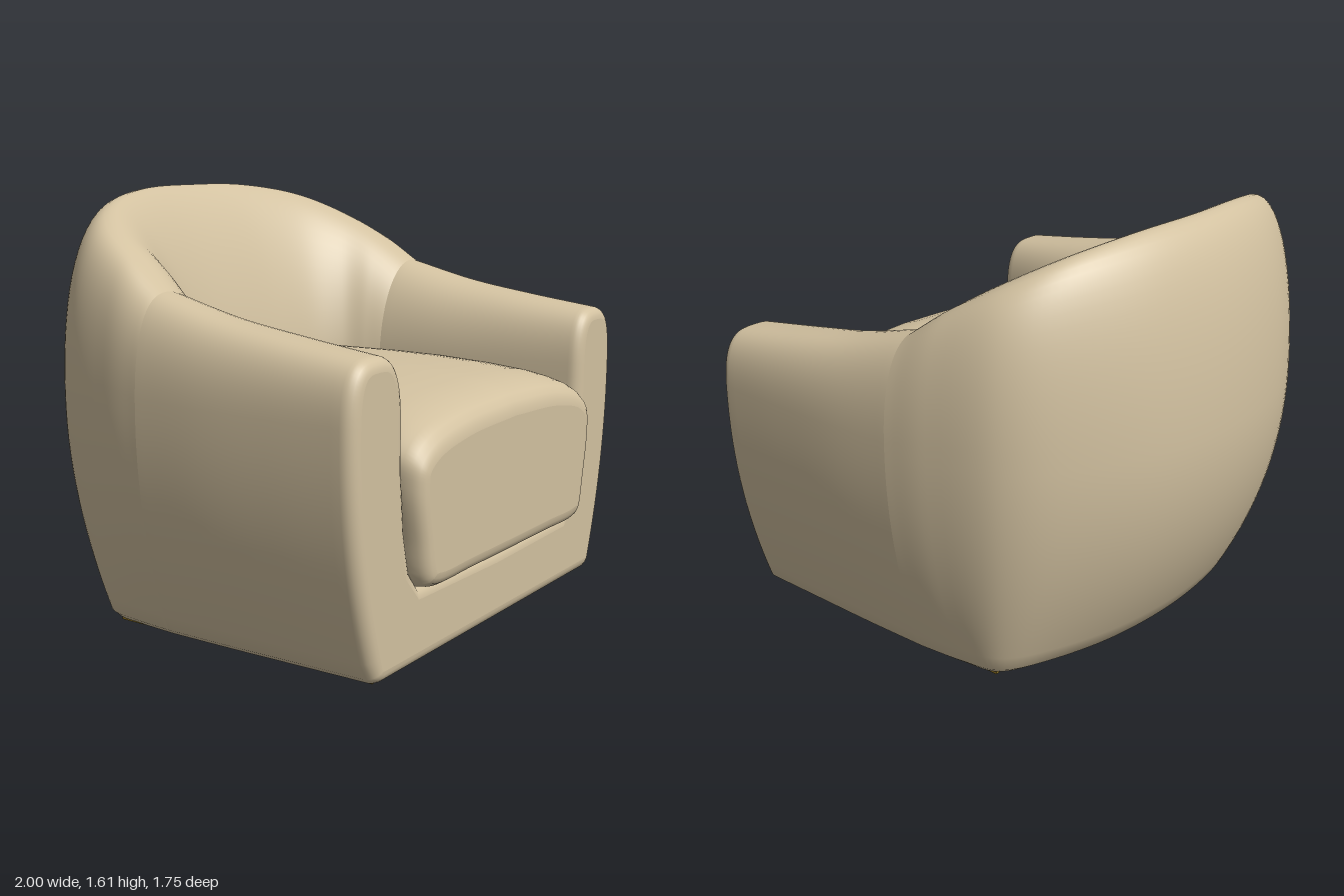
import * as THREE from 'three';
import { mergeGeometries } from 'three/addons/utils/BufferGeometryUtils.js';

const V = (x, y, z) => new THREE.Vector3(x, y, z);
const FLOOR = 0.012, SEAT = 0.29, JOIN = -0.08;

// Skin a list of rings; closed joins the last point of each ring to its first.
function loft(rings, closed) {
  const n = rings[0].length, index = [];
  for (let i = 0; i < rings.length - 1; i++) {
    for (let j = 0; j < (closed ? n : n - 1); j++) {
      const a = i * n + j, b = i * n + (j + 1) % n;
      index.push(a, a + n, b, b, a + n, b + n);
    }
  }
  const geo = new THREE.BufferGeometry().setFromPoints(rings.flat());
  geo.setIndex(index);
  geo.computeVertexNormals();
  return geo;
}

// Flat front face filling a ring.
function cap(ring) {
  const geo = new THREE.ShapeGeometry(new THREE.Shape(ring.map(p => new THREE.Vector2(p.x, p.y))));
  geo.translate(0, 0, ring[0].z);
  geo.deleteAttribute('uv');
  return geo;
}

// Half a ring, running from the centre line to the centre line, made whole.
function mirrorRing(half) {
  const other = half.slice(1, -1).reverse().map(p => V(-p.x, p.y, p.z));
  return [...half, ...other];
}

// Move the ring inwards along its own normals and place it at z.
function inset(ring, d, z) {
  const n = ring.length;
  return ring.map((p, j) => {
    const t = ring[(j + 1) % n].clone().sub(ring[(j + n - 1) % n]).setZ(0).normalize();
    return V(p.x - t.y * d, p.y + t.x * d, z);
  });
}

// Wall section from bottom edge B over widest W, crest C and inner wall I; e.x, e.y set roundness.
function section([B, W, C, I, e], centreZ) {
  const pts = [V(0, FLOOR, centreZ)];
  const side = (y, pull = 0) => {
    const f = ((W.y - y) / W.y) ** 2 + pull;
    return V(W.x + (B.x - W.x) * f, y, W.z + (B.z - W.z) * f);
  };
  pts.push(side(FLOOR, 0.28), side(FLOOR + 0.006, 0.12));
  for (let k = 0; k < 14; k++) pts.push(side(0.04 + (W.y - 0.04) * k / 14));
  const arc = (P, n, th) => {
    const c = Math.max(0, Math.cos(th)) ** (2 / n), s = Math.sin(th) ** (2 / n);
    return V(C.x + (P.x - C.x) * c, P.y + (C.y - P.y) * s, C.z + (P.z - C.z) * c);
  };
  const N = 16;
  for (let k = 0; k <= N; k++) pts.push(arc(W, e.x, k / N * Math.PI / 2));
  for (let k = N - 1; k >= 0; k--) pts.push(arc(I, e.y, k / N * Math.PI / 2));
  for (const [dx, y] of [[0, 0.72], [0.02, 0.5], [0.05, 0.36], [0.09, 0.3]]) {
    pts.push(V(I.x * (1 - dx / 0.6), y, I.z));
  }
  pts.push(V(0, SEAT, centreZ));
  return pts;
}

// Smooth curves through each anchor of a list of stations.
function blend(stations) {
  const curves = stations[0].map((_, k) =>
    new THREE.CatmullRomCurve3(stations.map(s => s[k]), false, 'catmullrom', 0.5));
  return t => curves.map(c => c.getPoint(t));
}

// Arms and base: one U-shaped section running from the front to the join.
function armsAndBase() {
  const rows = [ // z, bottom x, widest x, crest x, crest y, inner x, outer and inner roundness
    [0.76, 0.82, 0.98, 0.82, 1.118, 0.66, 3, 2.8],
    [0.48, 0.825, 0.992, 0.82, 1.155, 0.62, 2.8, 2.6],
    [0.2, 0.83, 1, 0.82, 1.2, 0.585, 2.6, 2.3],
    [JOIN, 0.83, 0.995, 0.81, 1.27, 0.56, 2.5, 2],
  ];
  const at = blend(rows.map(([z, b, w, cx, cy, i, no, ni]) =>
    [V(b, 0, z), V(w, 0.85, z), V(cx, cy, z), V(i, 0.85, z), V(no, ni, 0)]));
  const rings = [];
  for (let k = 0; k <= 24; k++) {
    const a = at(k / 24);
    rings.push(mirrorRing(section(a, a[0].z)));
  }
  // rounded front edge
  const first = rings[0], r = 0.05, edge = [];
  for (let k = 6; k > 0; k--) {
    const th = k / 6 * Math.PI / 2;
    edge.push(inset(first, r * (1 - Math.cos(th)), 0.76 + r * Math.sin(th)));
  }
  return mergeGeometries([loft([...edge, ...rings], true), cap(edge[0])]);
}

// Backrest: the wall section swept round the back from arm to arm.
function backrest() {
  const half = [ // bottom x z, widest x z, crest x y z, inner x z, roundness
    [0.83, JOIN, 0.995, JOIN, 0.81, 1.27, JOIN, 0.56, JOIN, 2.5, 2],
    [0.815, -0.25, 0.97, -0.25, 0.79, 1.38, -0.24, 0.53, -0.14, 2.4, 1.9],
    [0.78, -0.4, 0.895, -0.5, 0.73, 1.48, -0.41, 0.48, -0.22, 2.3, 1.75],
    [0.62, -0.49, 0.72, -0.67, 0.57, 1.56, -0.55, 0.37, -0.29, 2.1, 1.6],
    [0.34, -0.57, 0.4, -0.82, 0.3, 1.603, -0.635, 0.2, -0.325, 2, 1.5],
    [0, -0.6, 0, -0.873, 0, 1.61, -0.66, 0, -0.335, 2, 1.5],
  ].map(([bx, bz, wx, wz, cx, cy, cz, ix, iz, no, ni]) =>
    [V(bx, 0, bz), V(wx, 0.87, wz), V(cx, cy, cz), V(ix, 0.85, iz), V(no, ni, 0)]);
  half[0][1].y = 0.85;
  const other = half.slice(0, -1).reverse().map(s =>
    s.map((p, k) => (k < 4 ? V(-p.x, p.y, p.z) : p)));
  const at = blend([...half, ...other]);
  const rings = [];
  for (let k = 0; k <= 80; k++) rings.push(section(at(k / 80), JOIN));
  return loft(rings, false);
}

// Crowned seat cushion with a soft front.
function cushion() {
  const profile = new THREE.CatmullRomCurve3([
    V(0, 0.285, 0), V(0.3, 0.286, 0), V(0.53, 0.288, 0), V(0.595, 0.315, 0), V(0.64, 0.5, 0),
    V(0.668, 0.7, 0), V(0.655, 0.81, 0), V(0.57, 0.885, 0), V(0.35, 0.94, 0), V(0, 0.96, 0),
  ], false, 'centripetal').getPoints(54);
  const rows = [ // z, edge inset, height factor
    [0.872, 0.06, 0.86], [0.869, 0.04, 0.865], [0.858, 0.02, 0.875], [0.835, 0.006, 0.89],
    [0.8, 0, 0.91], [0.74, 0, 0.937], [0.66, 0, 0.96], [0.5, 0, 0.982],
    [0.3, 0, 0.997], [0.1, 0, 1], [-0.15, 0, 0.995], [-0.38, 0, 0.98],
  ];
  const rings = rows.map(([z, d, k]) =>
    inset(mirrorRing(profile.map(p => V(p.x, 0.285 + (p.y - 0.285) * k, z))), d, z));
  return mergeGeometries([loft(rings, true), cap(rings[0])]);
}

export function createModel() {
  const fabric = new THREE.MeshStandardMaterial({ color: 0xd2c1a0 });
  fabric.name = 'beige fabric';
  const trim = new THREE.MeshStandardMaterial({ color: 0x8a7023 });
  trim.name = 'olive trim';

  const group = new THREE.Group();
  group.name = 'armchair';
  const add = (name, geo, mat) => {
    const mesh = new THREE.Mesh(geo, mat);
    mesh.name = name;
    group.add(mesh);
    return mesh;
  };
  add('armsAndBase', armsAndBase(), fabric);
  add('backrest', backrest(), fabric);
  add('seatCushion', cushion(), fabric);

  // narrow trim under the front and side edges
  add('frontTrim', new THREE.BoxGeometry(1.54, 0.014, 0.016), trim).position.set(0, 0.007, 0.745);
  for (const s of [1, -1]) {
    add(s > 0 ? 'leftTrim' : 'rightTrim', new THREE.BoxGeometry(0.016, 0.014, 1.13), trim)
      .position.set(s * 0.762, 0.007, 0.188);
  }
  return group;
}
